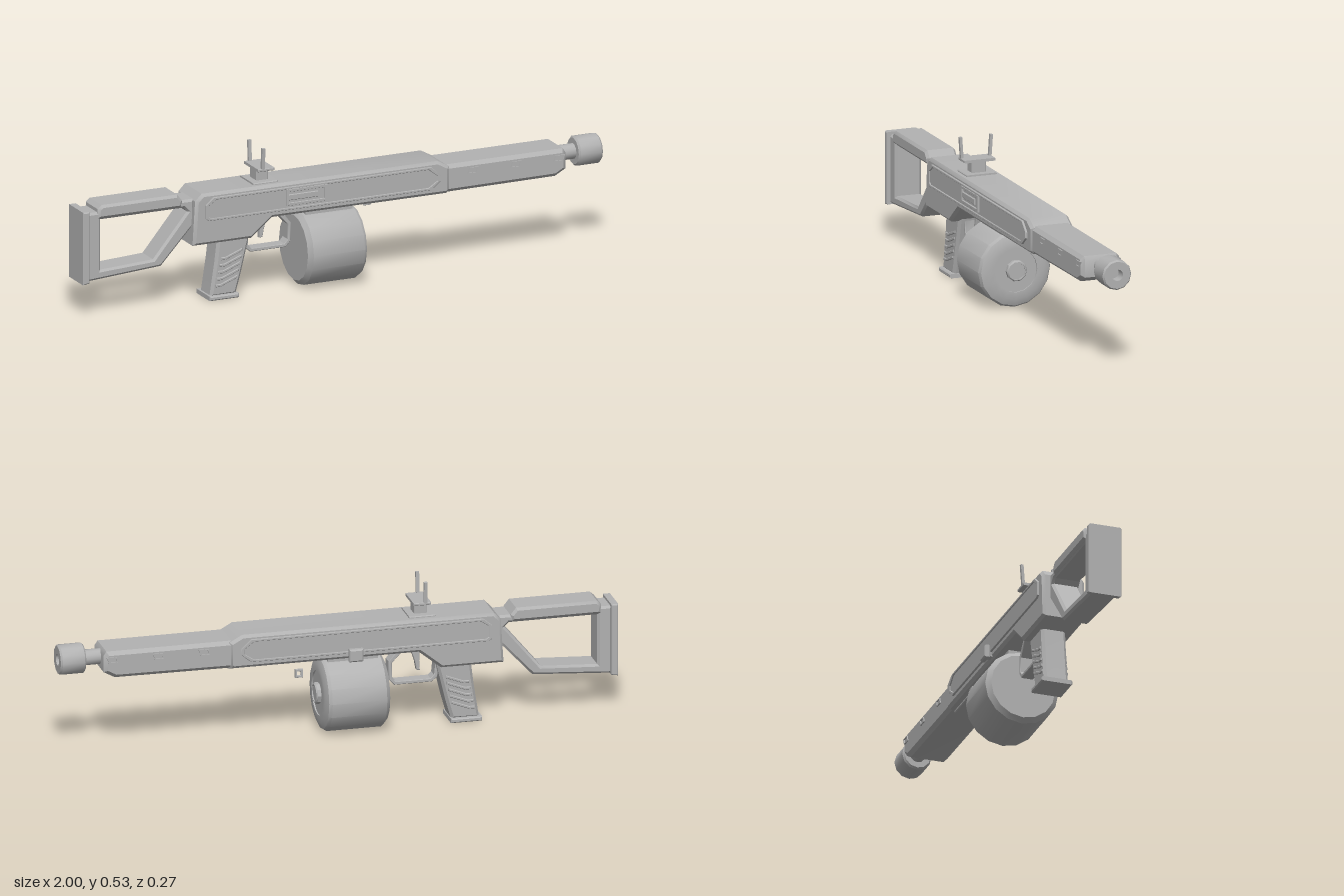
import * as THREE from 'three';
import { toCreasedNormals } from 'three/addons/utils/BufferGeometryUtils.js';

export function createModel() {
  const model = new THREE.Group();
  model.name = 'model';
  const gray = new THREE.MeshStandardMaterial({ color: 0xb2b2b2 });
  gray.name = 'gray';

  const add = (name, geometry) => {
    const mesh = new THREE.Mesh(toCreasedNormals(geometry, 0.6), gray);
    mesh.name = name;
    model.add(mesh);
    return mesh;
  };
  const vectors = (pts) => pts.map(([x, y]) => new THREE.Vector2(x, y));

  // Side outline extruded across z, with chamfered edges kept inside the outline
  const slab = (name, pts, z0, z1, bevel = 0, hole = null) => {
    const shape = new THREE.Shape(vectors(pts));
    if (hole) shape.holes.push(new THREE.Path(vectors(hole)));
    const geometry = new THREE.ExtrudeGeometry(shape, {
      depth: z1 - z0 - 2 * bevel, bevelEnabled: bevel > 0, bevelSize: bevel,
      bevelThickness: bevel, bevelOffset: -bevel, bevelSegments: 1,
    });
    geometry.translate(0, 0, z0 + bevel);
    return add(name, geometry);
  };
  const rect = (x0, x1, y0, y1) => [[x0, y0], [x1, y0], [x1, y1], [x0, y1]];
  const block = (name, x0, x1, y0, y1, z0, z1, bevel = 0) =>
    slab(name, rect(x0, x1, y0, y1), z0, z1, bevel);

  // Profile of [radius, x] turned around the x axis
  const turned = (name, pts, y, sides) => {
    const geometry = new THREE.LatheGeometry(vectors(pts), sides);
    geometry.rotateZ(-Math.PI / 2);
    geometry.translate(0, y, 0);
    return add(name, geometry);
  };

  // Main body
  slab('receiver', [[-0.585, 0.215], [-0.36, 0.215], [-0.28, 0.28], [0.39, 0.28], [0.4, 0.29],
    [0.4, 0.375], [0.355, 0.4], [-0.55, 0.4], [-0.575, 0.375]], -0.078, 0.078, 0.01);
  slab('handguard', [[0.36, 0.28], [0.81, 0.283], [0.85, 0.305], [0.85, 0.365], [0.84, 0.38],
    [0.36, 0.38]], -0.073, 0.073, 0.013);
  block('handguardRail', 0.1, 0.4, 0.272, 0.284, -0.05, 0.05, 0.003);

  // Barrel and muzzle
  turned('barrel', [[0, 0.83], [0.028, 0.83], [0.028, 0.92], [0, 0.92]], 0.344, 12);
  turned('muzzle', [[0, 0.908], [0.048, 0.908], [0.054, 0.914], [0.054, 0.994], [0.049, 1],
    [0.021, 1], [0.021, 0.96], [0, 0.96]], 0.344, 12);

  // Side panels, vents and rear lines, mirrored
  const panel = [[-0.54, 0.31], [-0.53, 0.302], [0.325, 0.302], [0.36, 0.33], [0.36, 0.352],
    [0.325, 0.385], [-0.51, 0.385], [-0.54, 0.36]];
  const panelInner = panel.map(([x, y]) => [-0.09 + (x + 0.09) * 0.975, 0.344 + (y - 0.344) * 0.8]);
  for (const side of [-1, 1]) {
    const span = (a, b) => (side > 0 ? [a, b] : [-b, -a]);
    slab('sidePanel', panel, ...span(0.074, 0.081), 0.002);
    slab('sidePanelRim', panel, ...span(0.074, 0.085), 0.0015, panelInner);
    for (const x of [0.49, 0.655, 0.82]) {
      const vent = (k) => [[-0.022, -0.011], [0.014, -0.011], [0.022, 0.011], [-0.014, 0.011]]
        .map(([u, v]) => [x + u * k, 0.35 + v * k]);
      slab('vent', vent(1), ...span(0.07, 0.077), 0, vent(0.72));
    }
  }

  // Ejection port with bolt, and charging handle on the far side
  slab('ejectionPort', rect(-0.232, -0.075, 0.318, 0.378), 0.076, 0.087, 0.001,
    rect(-0.222, -0.085, 0.328, 0.368));
  block('bolt', -0.225, -0.11, 0.337, 0.358, 0.076, 0.086, 0.002);
  block('chargingStem', -0.06, -0.03, 0.285, 0.31, -0.09, -0.07);
  block('chargingHandle', -0.072, -0.022, 0.276, 0.322, -0.108, -0.086, 0.005);

  // Sling loop
  slab('slingLoop', rect(0.138, 0.166, 0.227, 0.258), -0.079, -0.07, 0.001,
    rect(0.145, 0.159, 0.235, 0.25));

  // Drum magazine
  block('magazineWell', -0.14, 0.04, 0.2, 0.29, -0.045, 0.045);
  turned('drum', [[0, -0.165], [0.118, -0.165], [0.135, -0.15], [0.135, 0.046], [0.128, 0.057],
    [0.105, 0.066], [0.079, 0.066], [0.079, 0.061], [0, 0.061]], 0.136, 16);
  turned('drumHub', [[0.038, 0.055], [0.038, 0.073], [0.034, 0.078], [0.03, 0.078],
    [0.03, 0.074], [0, 0.074]], 0.136, 10);

  // Grip with slanted ribs and base
  slab('grip', [[-0.505, 0.01], [-0.405, 0.01], [-0.385, 0.08], [-0.35, 0.225], [-0.475, 0.225],
    [-0.485, 0.14]], -0.045, 0.045, 0.01);
  block('gripBase', -0.512, -0.4, 0, 0.016, -0.057, 0.057, 0.004);
  for (let i = 0; i < 5; i++) {
    const y = 0.045 + i * 0.024;
    const x = -0.487 + i * 0.005;
    slab('gripRib', [[x, y], [x + 0.02, y], [x + 0.085, y + 0.025], [x + 0.085, y + 0.035],
      [x + 0.02, y + 0.01], [x, y + 0.01]], -0.049, 0.049, 0.002);
  }

  // Trigger and guard
  slab('triggerGuard', [[-0.37, 0.245], [-0.36, 0.165], [-0.34, 0.148], [-0.205, 0.148],
    [-0.185, 0.17], [-0.185, 0.235], [-0.23, 0.29], [-0.35, 0.29]], -0.022, 0.022, 0.002,
  [[-0.355, 0.24], [-0.348, 0.172], [-0.335, 0.16], [-0.21, 0.16], [-0.197, 0.175],
    [-0.197, 0.23], [-0.24, 0.275], [-0.34, 0.275]]);
  slab('trigger', [[-0.3, 0.19], [-0.288, 0.192], [-0.282, 0.225], [-0.26, 0.29], [-0.3, 0.29],
    [-0.298, 0.225]], -0.01, 0.01, 0.002);

  // Skeleton stock with cheek rest and butt plate
  slab('stock', [[-0.98, 0.13], [-0.695, 0.15], [-0.57, 0.285], [-0.57, 0.378], [-0.98, 0.378]],
    -0.05, 0.05, 0.008,
    [[-0.928, 0.167], [-0.725, 0.178], [-0.595, 0.335], [-0.61, 0.35], [-0.928, 0.35]]);
  slab('cheekRest', [[-0.94, 0.355], [-0.62, 0.355], [-0.615, 0.378], [-0.635, 0.403],
    [-0.925, 0.403], [-0.94, 0.39]], -0.057, 0.057, 0.009);
  slab('buttPlate', [[-1, 0.123], [-0.975, 0.127], [-0.975, 0.387], [-1, 0.387]],
    -0.061, 0.061, 0.004);

  // Rear sight with two flared posts
  block('sightFoot', -0.345, -0.25, 0.396, 0.406, -0.055, 0.055, 0.003);
  block('sightStem', -0.32, -0.275, 0.4, 0.447, -0.027, 0.027, 0.003);
  block('sightPlate', -0.328, -0.265, 0.445, 0.455, -0.058, 0.058, 0.002);
  for (const side of [-1, 1]) {
    const post = new THREE.BoxGeometry(0.012, 0.078, 0.01);
    post.rotateX(side * 0.07);
    post.translate(-0.308, 0.491, side * 0.055);
    add('sightPost', post);
  }
  return model;
}
